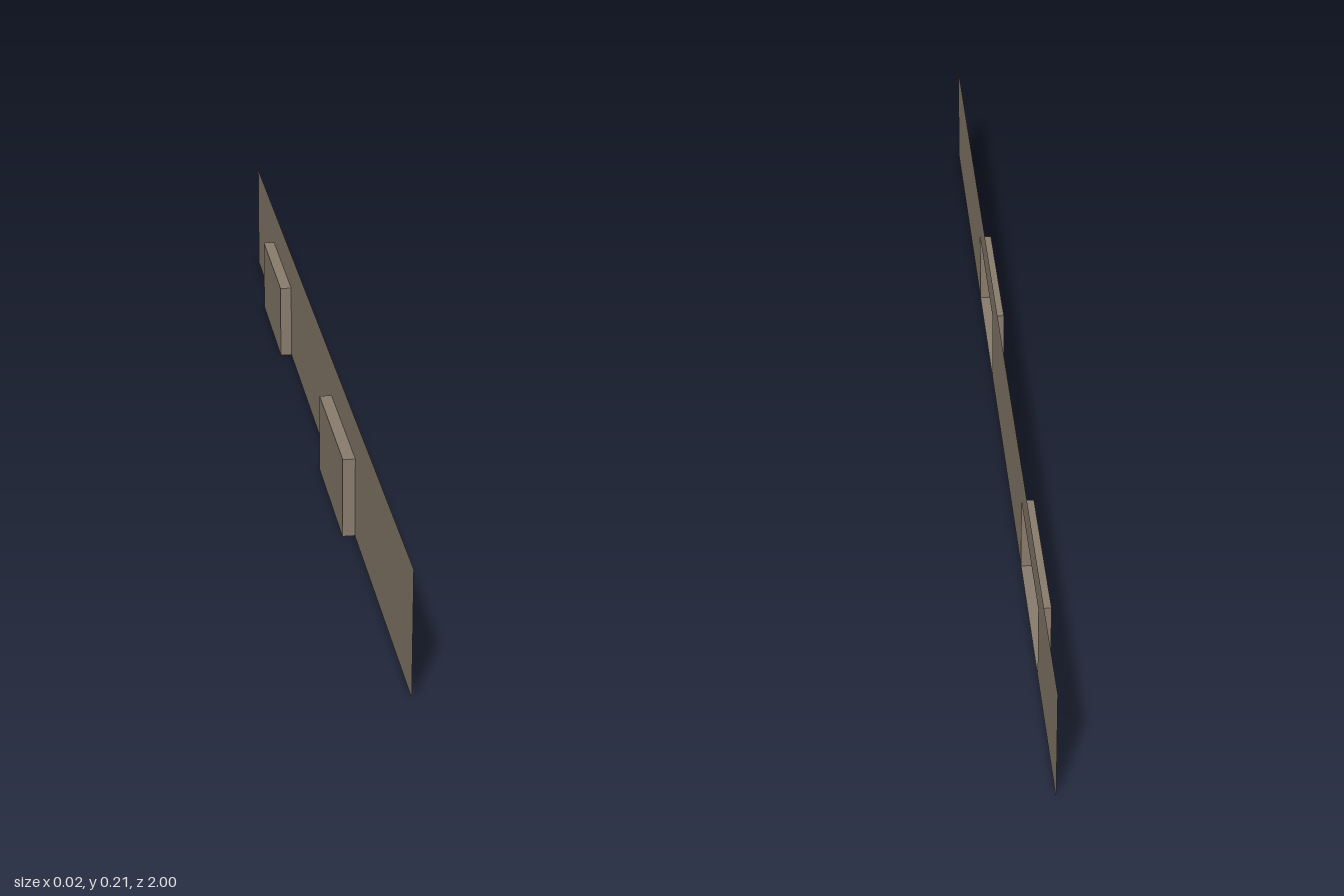
import * as THREE from 'three';

const LENGTH = 2, HEIGHT = 1.5 / 7, HALF_DEPTH = 0.0107;
const NICHE_W = 2 / 7, NICHE_H = 1 / 7;
const NICHE_Z = [2 / 7, -4 / 7]; // niche centres along the wall

export function createModel() {
  const wallMat = new THREE.MeshStandardMaterial({ color: 0x8a7d6d, side: THREE.DoubleSide });
  wallMat.name = 'taupe';

  const model = new THREE.Group();
  model.name = 'wallWithNiches';

  function plane(parent, name, w, h, position, rotation) {
    const mesh = new THREE.Mesh(new THREE.PlaneGeometry(w, h), wallMat);
    mesh.name = name;
    mesh.position.set(...position);
    mesh.rotation.set(...rotation);
    parent.add(mesh);
  }

  // Thin wall sheet, notched at the bottom for each niche (shape x runs along -z)
  const outline = new THREE.Shape();
  outline.moveTo(-LENGTH / 2, 0);
  for (const z of NICHE_Z) {
    const a = -z - NICHE_W / 2, b = -z + NICHE_W / 2;
    outline.lineTo(a, 0).lineTo(a, NICHE_H).lineTo(b, NICHE_H).lineTo(b, 0);
  }
  outline.lineTo(LENGTH / 2, 0).lineTo(LENGTH / 2, HEIGHT).lineTo(-LENGTH / 2, HEIGHT);
  const wall = new THREE.Mesh(new THREE.ShapeGeometry(outline), wallMat);
  wall.name = 'wallSheet';
  wall.rotation.y = Math.PI / 2;
  wall.position.x = HALF_DEPTH;
  model.add(wall);

  // Shallow niches, open towards +x and bulging out behind the sheet
  const d = HALF_DEPTH * 2, q = Math.PI / 2;
  for (const z of NICHE_Z) {
    const niche = new THREE.Group();
    niche.name = 'niche';
    niche.position.z = z;
    plane(niche, 'nicheBack', NICHE_W, NICHE_H, [-HALF_DEPTH, NICHE_H / 2, 0], [0, q, 0]);
    plane(niche, 'nicheFloor', d, NICHE_W, [0, 0, 0], [-q, 0, 0]);
    plane(niche, 'nicheCeiling', d, NICHE_W, [0, NICHE_H, 0], [q, 0, 0]);
    for (const s of [-1, 1]) {
      plane(niche, 'nicheSide', d, NICHE_H, [0, NICHE_H / 2, s * NICHE_W / 2], [0, s > 0 ? Math.PI : 0, 0]);
    }
    model.add(niche);
  }
  return model;
}
